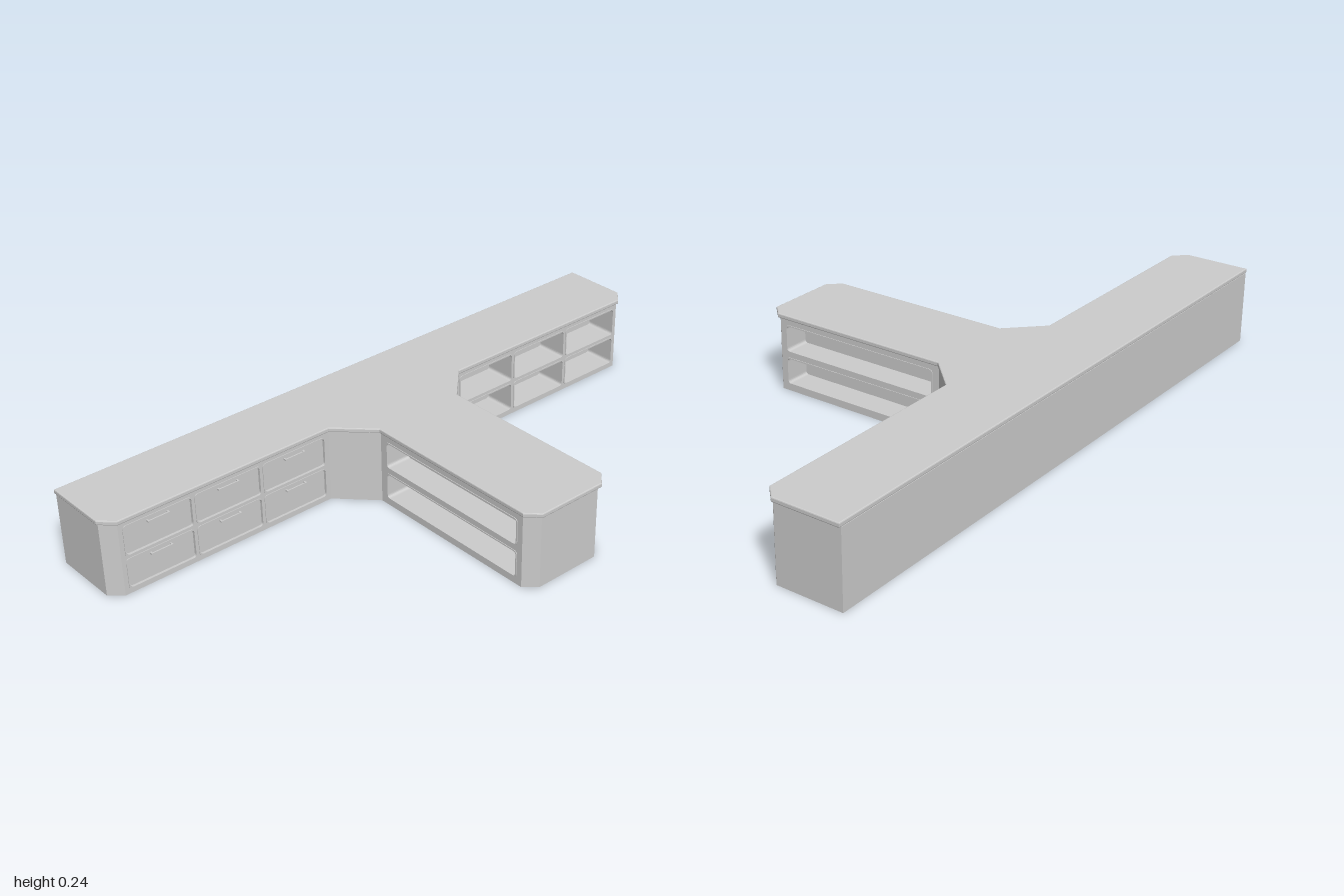
import * as THREE from 'three';

const BODY_H = 0.23;

// Extrude a floor plan given as [x, z] pairs upwards
function extrudePlan(points, options) {
  const shape = new THREE.Shape(points.map(([x, z]) => new THREE.Vector2(x, -z)));
  return new THREE.ExtrudeGeometry(shape, options).rotateX(-Math.PI / 2);
}

// Trace a rounded rectangle centred on (cx, cy)
function roundedRect(path, cx, cy, w, h, r) {
  const x0 = cx - w / 2, x1 = cx + w / 2, y0 = cy - h / 2, y1 = cy + h / 2;
  path.moveTo(x0 + r, y0);
  path.lineTo(x1 - r, y0).quadraticCurveTo(x1, y0, x1, y0 + r);
  path.lineTo(x1, y1 - r).quadraticCurveTo(x1, y1, x1 - r, y1);
  path.lineTo(x0 + r, y1).quadraticCurveTo(x0, y1, x0, y1 - r);
  path.lineTo(x0, y0 + r).quadraticCurveTo(x0, y0, x0 + r, y0);
  return path;
}

export function createModel() {
  const model = new THREE.Group();
  model.name = 'counter';
  const grey = new THREE.MeshStandardMaterial({ color: 0xcccccc });
  grey.name = 'grey';

  const add = (parent, name, geometry, x = 0, y = 0, z = 0) => {
    const mesh = new THREE.Mesh(geometry, grey);
    mesh.name = name;
    mesh.position.set(x, y, z);
    parent.add(mesh);
    return mesh;
  };

  // Wall section facing local +z: front surface at z = 0, pierced by openings
  function wall(name, width, depth, openings, x, z, turn) {
    const group = new THREE.Group();
    group.name = name;
    group.position.set(x, 0, z);
    group.rotation.y = turn;
    model.add(group);

    const panel = new THREE.Shape([
      new THREE.Vector2(-width / 2, 0), new THREE.Vector2(width / 2, 0),
      new THREE.Vector2(width / 2, BODY_H), new THREE.Vector2(-width / 2, BODY_H),
    ]);
    for (const [cx, cy, w, h] of openings) {
      panel.holes.push(roundedRect(new THREE.Path(), cx, cy, w, h, 0.01));
      // Slim raised lip around the opening
      const rim = roundedRect(new THREE.Shape(), cx, cy, w + 0.008, h + 0.008, 0.013);
      rim.holes.push(roundedRect(new THREE.Path(), cx, cy, w, h, 0.01));
      add(group, 'rim', new THREE.ExtrudeGeometry(rim, { depth: 0.002, bevelEnabled: false, curveSegments: 5 }));
    }
    add(group, 'panel',
      new THREE.ExtrudeGeometry(panel, { depth, bevelEnabled: false, curveSegments: 5 }), 0, 0, -depth);
    return group;
  }

  // Carcass, notched where the shelves and drawers sit
  add(model, 'carcass', extrudePlan([
    [-0.487, -0.993], [-0.28, -0.993], [-0.246, -0.957],
    [-0.346, -0.957], [-0.346, -0.252], [-0.246, -0.252],
    [-0.137, -0.145], [-0.137, -0.065], [0.443, -0.065], [0.443, -0.145],
    [0.477, -0.108], [0.477, 0.106],
    [0.443, 0.143], [0.443, 0.063], [-0.137, 0.063], [-0.137, 0.143],
    [-0.246, 0.248], [-0.266, 0.248], [-0.266, 0.957], [-0.246, 0.957],
    [-0.28, 0.995], [-0.487, 0.995],
  ], { depth: BODY_H, bevelEnabled: false }));

  // Countertop with softened edges
  const top = add(model, 'countertop', extrudePlan([
    [-0.487, -1], [-0.28, -1], [-0.24, -0.96], [-0.24, -0.255], [-0.137, -0.152],
    [0.447, -0.152], [0.485, -0.115], [0.485, 0.11], [0.447, 0.147],
    [-0.137, 0.147], [-0.24, 0.25], [-0.24, 0.96], [-0.28, 1], [-0.487, 1],
  ], { depth: 0.008, bevelThickness: 0.003, bevelSize: 0.003, bevelOffset: -0.003, bevelSegments: 2 }));
  top.position.y = BODY_H + 0.003;

  // Two long shelves on each side of the stem
  for (const [side, z] of [[1, 0.143], [-1, -0.145]]) {
    const shelves = [0.064, 0.168].map((y) => [side * 0.002, y, 0.53, 0.08]);
    wall(side > 0 ? 'frontShelves' : 'backShelves', 0.58, 0.08, shelves, 0.153, z, side > 0 ? 0 : Math.PI);
  }

  // Three by two grid used by the cubbies and the drawers
  const grid = [];
  for (const x of [-0.23, 0, 0.23])
    for (const y of [0.063, 0.168]) grid.push([x, y, 0.215, 0.09]);

  wall('cubbies', 0.705, 0.1, grid, -0.246, -0.6045, Math.PI / 2);
  const drawers = wall('drawers', 0.709, 0.02, grid, -0.246, 0.6025, Math.PI / 2);

  // Drawer fronts with bar handles
  for (const [x, y, w, h] of grid) {
    const front = roundedRect(new THREE.Shape(), 0, 0, w - 0.005, h - 0.005, 0.008);
    add(drawers, 'drawerFront',
      new THREE.ExtrudeGeometry(front, { depth: 0.016, bevelEnabled: false, curveSegments: 5 }), x, y, -0.019);
    const handleY = y + 0.033;
    add(drawers, 'handle', new THREE.BoxGeometry(0.07, 0.005, 0.004), x, handleY, 0.005);
    for (const s of [-1, 1])
      add(drawers, 'handlePost', new THREE.BoxGeometry(0.005, 0.005, 0.008), x + s * 0.0325, handleY, 0);
  }

  return model;
}
